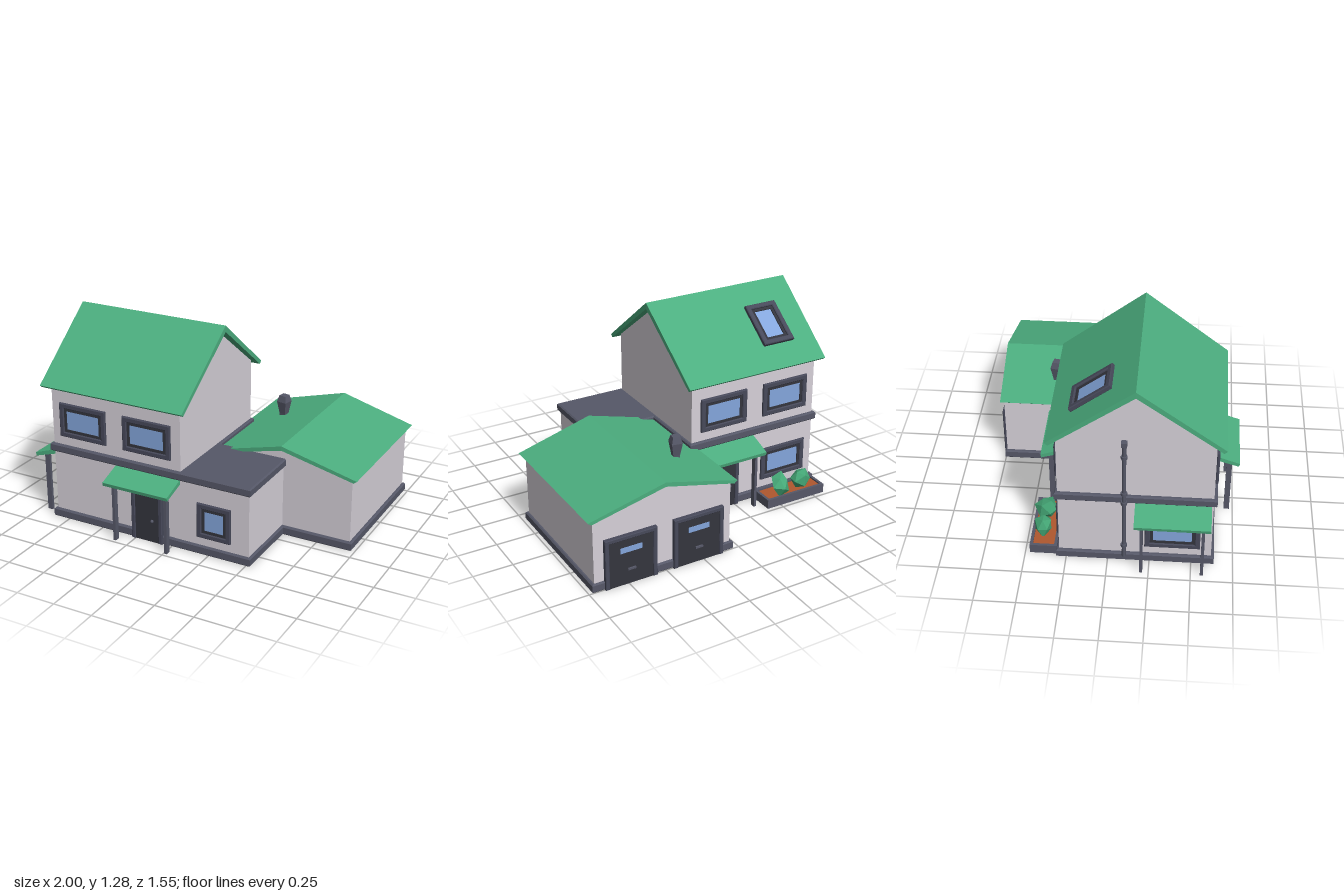
import * as THREE from 'three';

const mat = (name, color) => {
  const m = new THREE.MeshStandardMaterial({ color });
  m.name = name;
  return m;
};

export function createModel() {
  const house = new THREE.Group();
  house.name = 'house';
  const wall = mat('plaster', 0xd6d1d9);
  const roof = mat('greenRoof', 0x4cae7f);
  const trim = mat('slateTrim', 0x565868);
  const frameMat = mat('frameGrey', 0x47495a);
  const doorMat = mat('doorDark', 0x34353e);
  const glass = mat('glass', 0x84a6dc);
  const soil = mat('soil', 0xb0582f);
  const leaf = mat('leaf', 0x45a877);

  const add = (name, geo, m, parent = house, x = 0, y = 0, z = 0) => {
    const mesh = new THREE.Mesh(geo, m);
    mesh.name = name;
    mesh.position.set(x, y, z);
    parent.add(mesh);
    return mesh;
  };
  const box = (name, m, w, h, d, x, y, z, parent = house) =>
    add(name, new THREE.BoxGeometry(w, h, d), m, parent, x, y, z);
  const poly = (pts) => new THREE.Shape(pts.map((p) => new THREE.Vector2(p[0], p[1])));
  const prism = (shape, depth, bevel = 0) => new THREE.ExtrudeGeometry(shape, {
    depth: depth - 2 * bevel, bevelEnabled: bevel > 0, bevelThickness: bevel,
    bevelSize: bevel, bevelOffset: -bevel, bevelSegments: 1,
  });

  // Footprint given as x, z corners and raised into a slab
  const slab = (name, pts, y, h) => {
    const geo = prism(poly(pts.map(([x, z]) => [x, -z])), h, 0.008);
    geo.rotateX(-Math.PI / 2);
    add(name, geo, trim, house, 0, y + 0.008, 0);
  };

  // Gabled walls, with the ridge along local z
  const gableWalls = (half, eave, ridge, length) =>
    prism(poly([[-half, 0.02], [half, 0.02], [half, eave], [0, ridge], [-half, eave]]), length)
      .translate(0, 0, -length / 2);

  // Chevron roof whose ridge overhangs slightly more than its eaves
  const gableRoof = (half, eave, ridge, thick, length) => {
    const e = half - 0.02;
    const geo = prism(poly([[-half, eave + 0.016], [-e, eave], [0, ridge - thick],
      [e, eave], [half, eave + 0.016], [0, ridge]]), length).translate(0, 0, -length / 2);
    const p = geo.attributes.position;
    for (let i = 0; i < p.count; i++) {
      const flare = 0.014 * Math.abs(p.getX(i)) / half;
      p.setZ(i, p.getZ(i) - Math.sign(p.getZ(i)) * flare);
    }
    geo.computeVertexNormals();
    return geo;
  };

  // Main house, ridge running left to right
  const main = new THREE.Group();
  main.name = 'mainHouse';
  main.position.set(-0.39, 0, 0.163);
  main.rotation.y = Math.PI / 2;
  house.add(main);
  add('mainWalls', gableWalls(0.455, 0.91, 1.25, 0.9), wall, main);
  add('mainRoof', gableRoof(0.512, 0.88, 1.285, 0.04, 1.015), roof, main);

  // Garage wing, ridge running front to back
  const wing = new THREE.Group();
  wing.name = 'garageWing';
  wing.position.set(0.513, 0, -0.288);
  house.add(wing);
  add('wingWalls', gableWalls(0.45, 0.462, 0.575, 0.905), wall, wing);
  add('wingRoof', gableRoof(0.485, 0.455, 0.6, 0.028, 0.975), roof, wing);

  // Flat-roofed front room
  box('frontRoomWalls', wall, 0.5, 0.46, 0.5, 0.265, 0.25, 0.37);

  // Plinth and storey band
  slab('plinth', [[-0.86, 0.636], [0.53, 0.636], [0.53, 0.183], [0.98, 0.183],
    [0.98, -0.753], [0.043, -0.753], [0.043, -0.31], [-0.86, -0.31]], 0, 0.057);
  slab('storeyBand', [[-0.86, 0.638], [0.53, 0.638], [0.53, 0.15], [0.078, 0.15],
    [0.078, -0.31], [-0.86, -0.31]], 0.455, 0.053);

  // Rectangular ring centred on the origin
  const ring = (w, h, border, depth, bevel = 0) => {
    const rect = (a, b) => [[-a, -b], [a, -b], [a, b], [-a, b]];
    const s = poly(rect(w / 2, h / 2));
    s.holes.push(poly(rect(w / 2 - border, h / 2 - border).reverse()));
    return prism(s, depth, bevel).translate(0, 0, bevel);
  };
  const mount = (name, x, y, z, turn, tilt = 0) => {
    const g = new THREE.Group();
    g.name = name;
    g.position.set(x, y, z);
    g.rotation.set(tilt, turn, 0, 'YXZ');
    house.add(g);
    return g;
  };

  // Window: outer frame, stepped inner frame, glass
  const addWindow = (name, w, h, x, y, z, turn = 0, tilt = 0, depth = 0.02) => {
    const g = mount(name, x, y, z, turn, tilt);
    add('outerFrame', ring(w, h, 0.032, depth, 0.005), frameMat, g);
    add('innerFrame', ring(w - 0.06, h - 0.06, 0.02, depth * 0.6), doorMat, g);
    box('pane', glass, w - 0.08, h - 0.08, 0.006, 0, 0, depth * 0.3, g);
  };
  const BACK = Math.PI;
  for (const x of [-0.615, -0.165]) {
    addWindow('upperFrontWindow', 0.33, 0.22, x, 0.68, 0.618);
    addWindow('upperBackWindow', 0.33, 0.22, x, 0.68, -0.292, BACK);
  }
  addWindow('frontRoomWindow', 0.225, 0.225, 0.287, 0.227, 0.62);
  addWindow('lowerBackWindow', 0.33, 0.22, -0.615, 0.227, -0.292, BACK);
  addWindow('sideWindow', 0.33, 0.22, -0.84, 0.227, 0.385, -Math.PI / 2);
  addWindow('skylight', 0.22, 0.295, -0.615, 1.086, -0.095, BACK, -0.924, 0.03);

  // Doors with a three-sided surround
  const addDoor = (name, w, h, x, z, turn) => {
    const g = mount(name, x, 0, z, turn);
    const b = 0.026;
    const s = poly([[-w / 2, 0], [-w / 2 + b, 0], [-w / 2 + b, h - b], [w / 2 - b, h - b],
      [w / 2 - b, 0], [w / 2, 0], [w / 2, h], [-w / 2, h]].reverse());
    add('surround', prism(s, 0.03, 0.004).translate(0, 0, 0.004), frameMat, g);
    box('leaf', doorMat, w - 0.04, h - 0.025, 0.022, 0, (h - 0.025) / 2, 0.011, g);
    return g;
  };
  for (const [name, z, turn] of [['frontDoor', 0.618, 0], ['backDoor', -0.292, BACK]]) {
    const g = addDoor(name, 0.215, 0.335, -0.167, z, turn);
    add('knob', new THREE.SphereGeometry(0.011, 8, 6), trim, g, 0.04, 0.145, 0.03);
  }
  for (const x of [0.733, 0.287]) {
    const g = addDoor('garageDoor', 0.335, 0.325, x, -0.738, BACK);
    box('garagePane', glass, 0.14, 0.035, 0.004, 0, 0.23, 0.023, g);
    box('garageHandle', trim, 0.05, 0.012, 0.012, 0, 0.1, 0.026, g);
  }

  // Sloping awnings on two posts
  const addAwning = (name, x, z, turn) => {
    const g = mount(name, x, 0, z, turn);
    const profile = poly([[0, 0.425], [0.155, 0.378], [0.16, 0.4], [0, 0.455]]);
    const geo = prism(profile, 0.445).rotateY(-Math.PI / 2).translate(0.2225, 0, 0);
    add('awningRoof', geo, roof, g);
    for (const s of [-1, 1]) box('awningPost', trim, 0.018, 0.4, 0.034, s * 0.18, 0.2, 0.097, g);
  };
  addAwning('frontAwning', -0.167, 0.615, 0);
  addAwning('backAwning', -0.167, -0.29, BACK);
  addAwning('sideAwning', -0.84, 0.385, -Math.PI / 2);

  // Drainpipe with collars and hopper
  const pipe = mount('drainpipe', -0.882, 0, 0.1, 0);
  add('pipe', new THREE.CylinderGeometry(0.012, 0.012, 0.86, 8), trim, pipe, 0, 0.49, 0);
  for (const y of [0.15, 0.48, 0.55, 0.82])
    add('collar', new THREE.CylinderGeometry(0.019, 0.019, 0.02, 8), trim, pipe, 0, y, 0);
  box('hopper', trim, 0.034, 0.03, 0.034, 0, 0.915, 0, pipe);

  // Flue on the wing roof
  const flue = [[0.026, 0.5], [0.03, 0.54], [0.048, 0.62], [0.033, 0.662], [0, 0.662]]
    .map(([r, y]) => new THREE.Vector2(r, y));
  const flueGeo = new THREE.LatheGeometry(flue, 4).toNonIndexed();
  flueGeo.computeVertexNormals();
  add('flue', flueGeo, trim, house, 0.243, 0, -0.413).rotation.y = 0.6;

  // Planter behind the house
  const planter = mount('planter', -0.617, 0, -0.39, 0);
  const rim = ring(0.432, 0.165, 0.018, 0.06).rotateX(-Math.PI / 2);
  add('planterRim', rim, trim, planter);
  box('planterSoil', soil, 0.4, 0.048, 0.135, 0, 0.026, 0, planter);
  [-0.08, 0.078].forEach((x, k) => {
    const geo = new THREE.IcosahedronGeometry(0.068, 0);
    const p = geo.attributes.position;
    // Pull alternate directions outward for a ragged bush
    for (let i = 0; i < p.count; i++) {
      const [a, b, c] = [p.getX(i), p.getY(i), p.getZ(i)];
      const s = 1 + 0.22 * Math.sin(a * 60 + b * 37 + c * 83 + k);
      p.setXYZ(i, a * s, b * s * 1.05, c * s * 0.85);
    }
    geo.computeVertexNormals();
    add('bush', geo, leaf, planter, x, 0.11, -0.012).rotation.y = k * 0.9;
  });

  return house;
}
